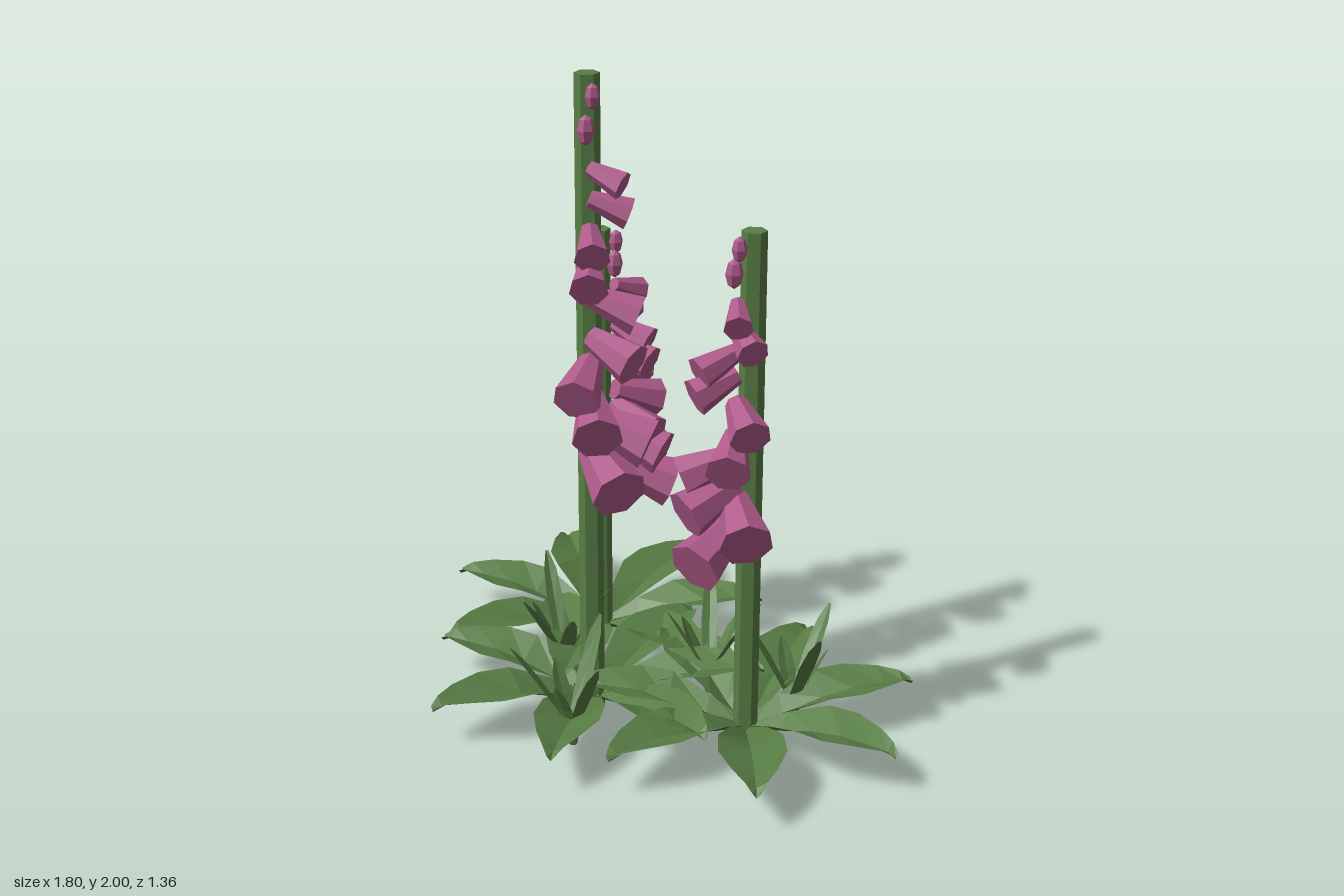
import * as THREE from 'three';

const green = new THREE.MeshStandardMaterial({ color: 0x587d45, flatShading: true, side: THREE.DoubleSide });
green.name = 'leaf green';
const pink = new THREE.MeshStandardMaterial({ color: 0xae5a8a, flatShading: true });
pink.name = 'bell pink';

const STEM_R = 0.037;

function mesh(name, geometry, material) {
  const m = new THREE.Mesh(geometry, material);
  m.name = name;
  return m;
}

// Folded strip along +z; each row is [z, half width, midrib y, edge y]
function foldedStrip(rows) {
  const pos = [], index = [];
  for (const [z, w, mid, edge] of rows) pos.push(-w, edge, z, 0, mid, z, w, edge, z);
  for (let i = 0; i < rows.length - 1; i++) {
    for (let j = 0; j < 2; j++) {
      const a = i * 3 + j, b = a + 1, c = a + 3, d = a + 4;
      index.push(a, c, b, b, c, d);
    }
  }
  const g = new THREE.BufferGeometry();
  g.setAttribute('position', new THREE.Float32BufferAttribute(pos, 3));
  g.setIndex(index);
  g.computeVertexNormals();
  return g;
}

const leafGeometry = foldedStrip([
  [0.02, 0.02, 0.035, 0.05],
  [0.12, 0.055, 0.06, 0.10],
  [0.24, 0.095, 0.10, 0.145],
  [0.34, 0.10, 0.12, 0.15],
  [0.44, 0.065, 0.125, 0.15],
  [0.50, 0.032, 0.125, 0.143],
  [0.53, 0.012, 0.11, 0.125],
]);

// Seven broad leaves around a stem
function rosette(phase) {
  const g = new THREE.Group();
  g.name = 'leafRosette';
  for (let i = 0; i < 7; i++) {
    const leaf = mesh('broadLeaf', leafGeometry, green);
    leaf.rotation.y = phase + i * Math.PI * 2 / 7;
    g.add(leaf);
  }
  return g;
}

// Bell: narrow end at the origin, mouth along +z
function bell(radius, length) {
  const g = new THREE.CylinderGeometry(radius * 0.52, radius, length, 7);
  g.translate(0, -length / 2, 0);
  g.rotateX(-Math.PI / 2);
  return mesh('bell', g, pink);
}

// Bells down one side: [fraction of stem height, sideways angle in degrees]
const BELLS = [
  [0.86, 50], [0.815, 72], [0.768, -13], [0.724, -18], [0.668, 66],
  [0.605, 40], [0.565, -32], [0.51, -10], [0.478, 60], [0.425, 10],
];

function flowerSpike(height, turn) {
  const g = new THREE.Group();
  g.name = 'flowerSpike';
  BELLS.forEach(([t, az], i) => {
    const k = i / (BELLS.length - 1);
    const length = 0.11 + 0.085 * k;
    const b = bell(0.043 + 0.042 * k, length);
    b.rotation.order = 'YXZ';
    b.rotation.set(0.38, THREE.MathUtils.degToRad(az), 0);
    b.position.set(-0.01, t * height + length * 0.18, 0.05);
    g.add(b);
  });
  // Two closed buds near the tip
  for (const [x, t, s] of [[0, 0.972, 0.9], [-0.02, 0.925, 1.05]]) {
    const bud = mesh('bud', new THREE.SphereGeometry(0.025, 6, 4), pink);
    bud.scale.set(s, s * 1.7, s);
    bud.position.set(x, t * height, 0.055);
    g.add(bud);
  }
  g.rotation.y = turn;
  return g;
}

// Upright blade reaching outward by r and up to height h
function blade(r, h) {
  return mesh('blade', foldedStrip([
    [0.0, 0.012, 0.01, 0.015],
    [0.02, 0.02, h * 0.27, h * 0.29],
    [r * 0.5, 0.026, h * 0.58, h * 0.62],
    [r * 0.8, 0.02, h * 0.82, h * 0.86],
    [r, 0.004, h * 0.99, h],
  ]), green);
}

// Small tuft of three long and two short blades
function tuft(x, z, dir) {
  const g = new THREE.Group();
  g.name = 'bladeTuft';
  for (const [az, r, h] of [[0, 0.18, 0.36], [120, 0.18, 0.33], [240, 0.15, 0.32], [60, 0.1, 0.25], [180, 0.1, 0.24]]) {
    const b = blade(r, h);
    b.rotation.y = THREE.MathUtils.degToRad(az);
    g.add(b);
  }
  const root = mesh('tuftRoot', new THREE.CylinderGeometry(0.026, 0.013, 0.07, 6), green);
  root.position.y = 0.04;
  g.add(root);
  g.position.set(x, 0, z);
  g.rotation.y = dir;
  return g;
}

export function createModel() {
  const model = new THREE.Group();
  model.name = 'bellFlowerClump';

  // [x, z, stem height, spike turn, rosette phase], angles in degrees
  const plants = [
    [-0.42, -0.16, 1.4, 130, 90],
    [-0.06, 0.16, 2.0, 68, 90],
    [0.38, -0.08, 1.6, 0, 0],
  ];
  for (const [x, z, h, turn, phase] of plants) {
    const plant = new THREE.Group();
    plant.name = 'plant';
    const stem = mesh('stem', new THREE.CylinderGeometry(STEM_R, STEM_R, h, 6), green);
    stem.position.y = h / 2;
    stem.rotation.y = THREE.MathUtils.degToRad(turn + 15);
    plant.add(stem,
      rosette(THREE.MathUtils.degToRad(phase)),
      flowerSpike(h, THREE.MathUtils.degToRad(turn)));
    plant.position.set(x, 0, z);
    model.add(plant);
  }

  // Tufts between the plants: [x, z, direction of the tallest blade as x, z]
  for (const [x, z, dx, dz] of [
    [-0.27, 0.11, -0.16, -0.06],
    [0.09, 0.355, -0.06, -0.14],
    [0.11, -0.17, 0.15, -0.05],
    [0.40, -0.26, 0.17, 0.06],
  ]) model.add(tuft(x, z, Math.atan2(dx, dz)));

  return model;
}
